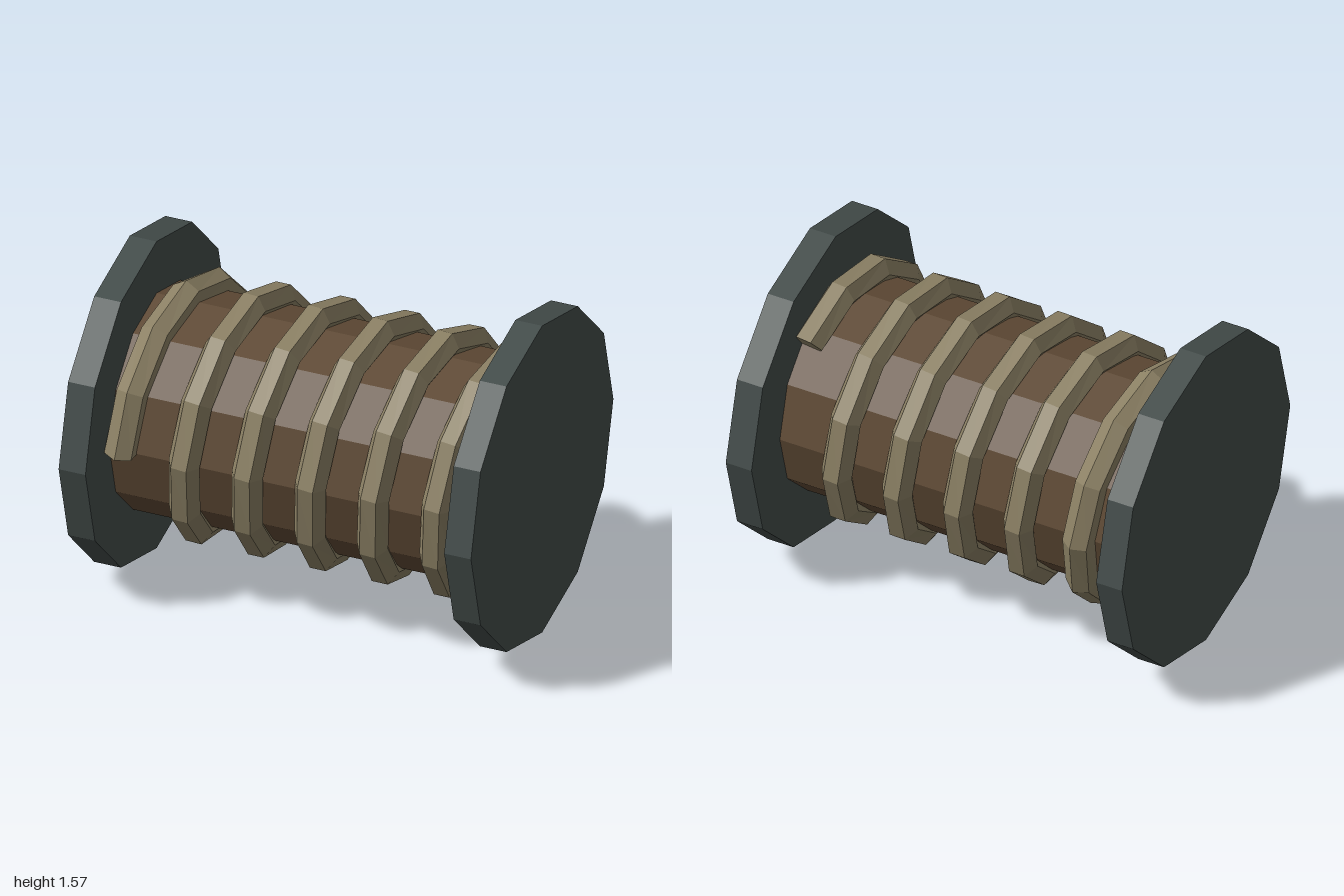
import * as THREE from 'three';

const AXIS_Y = 0.784; // height of the spool's axis
const SIDES = 12;

const material = (color) => new THREE.MeshStandardMaterial({ color, flatShading: true });

// Twelve-sided disc or drum lying along x
function barrel(name, radius, length, x, mat) {
  const geo = new THREE.CylinderGeometry(radius, radius, length, SIDES);
  geo.rotateZ(Math.PI / 2);
  const mesh = new THREE.Mesh(geo, mat);
  mesh.name = name;
  mesh.position.set(x, AXIS_Y, 0);
  return mesh;
}

// Hexagonal rope swept along a helix around x, starting at the front and rising over the top
function ropeGeometry({ radius, thickness, startX, pitch, turns, steps }) {
  const N = 6;
  const positions = [];
  const index = [];
  const slope = Math.atan2(pitch, 2 * Math.PI * radius);
  for (let i = 0; i <= steps; i++) {
    const turn = (i / steps) * turns;
    const t = turn * Math.PI * 2;
    const radial = new THREE.Vector3(0, Math.sin(t), Math.cos(t));
    const around = new THREE.Vector3(0, Math.cos(t), -Math.sin(t));
    const across = new THREE.Vector3(Math.cos(slope), 0, 0).addScaledVector(around, -Math.sin(slope));
    const centre = radial.clone().multiplyScalar(radius);
    centre.x = startX + pitch * turn;
    // the rope rolls from edge-out to flat-out during its first turn
    const roll = (Math.PI / 6) * THREE.MathUtils.smoothstep(turn, 0.3, 0.95);
    for (let j = 0; j < N; j++) {
      const a = (j / N) * Math.PI * 2 + roll;
      const p = centre.clone()
        .addScaledVector(radial, Math.cos(a) * thickness)
        .addScaledVector(across, Math.sin(a) * thickness);
      positions.push(p.x, p.y, p.z);
    }
  }
  for (let i = 0; i < steps; i++) {
    for (let j = 0; j < N; j++) {
      const a = i * N + j;
      const b = i * N + ((j + 1) % N);
      index.push(a, b, a + N, b, b + N, a + N);
    }
  }
  // end caps
  const last = steps * N;
  for (let j = 1; j < N - 1; j++) {
    index.push(0, j + 1, j, last, last + j, last + j + 1);
  }
  const geo = new THREE.BufferGeometry();
  geo.setAttribute('position', new THREE.Float32BufferAttribute(positions, 3));
  geo.setIndex(index);
  geo.computeVertexNormals();
  return geo;
}

export function createModel() {
  const model = new THREE.Group();
  model.name = 'ropeSpool';
  const metal = material(0x434c4a);
  const wood = material(0x5f4a35);
  const fibre = material(0x8b8064);

  // End flanges
  for (const [name, side] of [['leftFlange', 1], ['rightFlange', -1]]) {
    model.add(barrel(name, 0.784, 0.13, side * 0.935, metal));
  }

  // Central drum
  model.add(barrel('drum', 0.52, 1.76, 0, wood));

  // Wound rope
  const rope = new THREE.Mesh(
    ropeGeometry({ radius: 0.54, thickness: 0.075, startX: -0.805, pitch: 0.305, turns: 5.357, steps: 64 }),
    fibre
  );
  rope.name = 'rope';
  rope.position.y = AXIS_Y;
  model.add(rope);

  return model;
}
